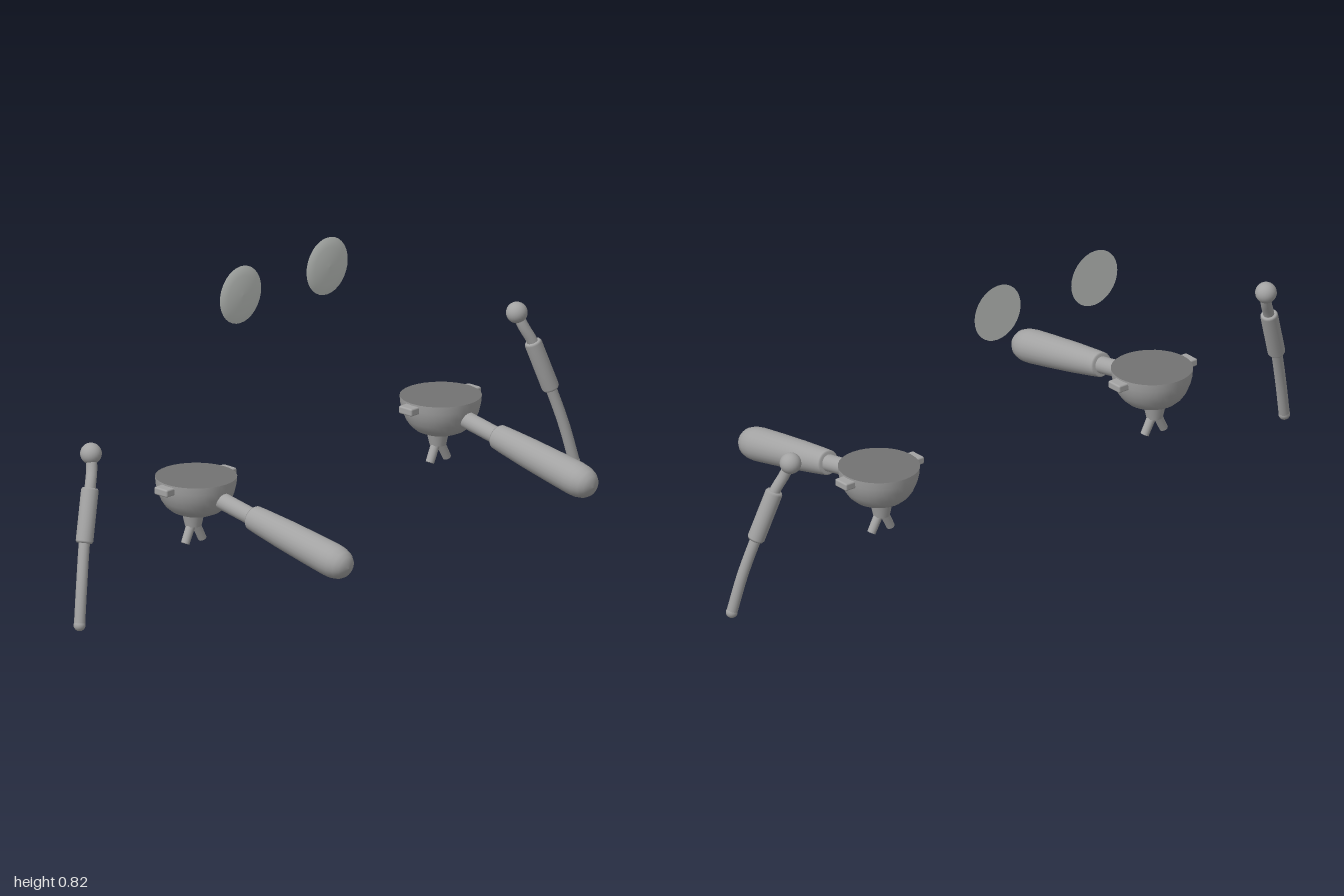
import * as THREE from 'three';
import { RoundedBoxGeometry } from 'three/addons/geometries/RoundedBoxGeometry.js';

const steel = new THREE.MeshStandardMaterial({ color: 0xa3a3a3 });
steel.name = 'steel';
const coffee = new THREE.MeshStandardMaterial({ color: 0x737373 });
coffee.name = 'dark grey';
const glass = new THREE.MeshStandardMaterial({ color: 0xc6cac6 });
glass.name = 'pale glass';

const V = (x, y, z) => new THREE.Vector3(x, y, z);
const UP = V(0, 1, 0);

function add(parent, name, geometry, material, x = 0, y = 0, z = 0) {
  const mesh = new THREE.Mesh(geometry, material);
  mesh.name = name;
  mesh.position.set(x, y, z);
  parent.add(mesh);
  return mesh;
}

// profile points are [radius, height], listed from bottom to top
function lathe(points, segments = 32) {
  return new THREE.LatheGeometry(points.map(([r, y]) => new THREE.Vector2(r, y)), segments);
}

// straight rod between two points
function rod(parent, name, a, b, ra, rb = ra) {
  const mesh = add(parent, name, new THREE.CylinderGeometry(rb, ra, a.distanceTo(b), 20), steel);
  mesh.position.copy(a).lerp(b, 0.5);
  mesh.quaternion.setFromUnitVectors(UP, b.clone().sub(a).normalize());
  return mesh;
}

function portafilter() {
  const g = new THREE.Group();
  g.name = 'portafilter';
  const cz = -0.224;

  // basket with a flat filled top
  add(g, 'basket', lathe([[0, 0.211], [0.03, 0.213], [0.052, 0.218], [0.07, 0.226], [0.085, 0.239],
    [0.097, 0.257], [0.106, 0.279], [0.111, 0.3], [0.113, 0.322]]), steel, 0, 0, cz);
  const top = add(g, 'basketTop', new THREE.CircleGeometry(0.113, 32), coffee, 0, 0.322, cz);
  top.rotation.x = -Math.PI / 2;

  // locking ears
  for (const s of [1, -1]) {
    add(g, 'ear', new RoundedBoxGeometry(0.045, 0.022, 0.05, 2, 0.005), steel, s * 0.117, 0.306, cz - 0.003);
  }

  // twin spout
  add(g, 'spoutBase', new THREE.CylinderGeometry(0.033, 0.023, 0.045, 20), steel, 0, 0.199, -0.235);
  for (const s of [1, -1]) {
    rod(g, 'spout', V(s * 0.004, 0.19, -0.235), V(s * 0.034, 0.132, -0.233), 0.013, 0.012);
  }

  // neck and grip slope down towards the front
  const start = V(0, 0.251, -0.01);
  const end = V(0, 0.185, 0.355);
  const axis = end.clone().sub(start).normalize();
  rod(g, 'neck', start.clone().addScaledVector(axis, -0.16), start.clone().addScaledVector(axis, 0.01), 0.024);
  const grip = add(g, 'grip', lathe([[0, 0], [0.031, 0], [0.035, 0.005], [0.037, 0.03], [0.042, 0.12],
    [0.0455, 0.22], [0.0475, 0.3], [0.046, 0.325], [0.04, 0.346], [0.03, 0.36], [0.016, 0.368], [0, 0.371]], 24), steel);
  grip.position.copy(start);
  grip.quaternion.setFromUnitVectors(UP, axis);
  return g;
}

function steamWand(s) {
  const g = new THREE.Group();
  g.name = 'steamWand';
  const path = [[0.846, 0.46, -0.279], [0.858, 0.42, -0.265], [0.879, 0.375, -0.251],
    [0.925, 0.24, -0.228], [0.957, 0.13, -0.208], [0.983, 0.017, -0.192]].map(([x, y, z]) => V(s * x, y, z));
  const curve = new THREE.CatmullRomCurve3(path);
  add(g, 'wandTube', new THREE.TubeGeometry(curve, 32, 0.0155, 16), steel);
  add(g, 'wandTip', new THREE.SphereGeometry(0.0165, 16, 12), steel).position.copy(path[5]);
  add(g, 'wandBall', new THREE.SphereGeometry(0.03, 24, 16), steel).position.copy(path[0]);

  // insulated sleeve with softened ends
  const dir = path[3].clone().sub(path[2]);
  const len = dir.length() + 0.008;
  const sleeve = add(g, 'wandSleeve', lathe([[0.013, 0], [0.021, 0], [0.0245, 0.006],
    [0.0245, len - 0.006], [0.021, len], [0.013, len]], 20), steel);
  sleeve.position.copy(path[2]);
  sleeve.quaternion.setFromUnitVectors(UP, dir.normalize());
  return g;
}

export function createModel() {
  const model = new THREE.Group();
  model.name = 'espressoFittings';
  for (const s of [1, -1]) {
    const filter = portafilter();
    filter.position.x = s * 0.486;
    model.add(filter, steamWand(s));

    // shallow domed gauge glass with a flat back
    const lens = new THREE.Group();
    lens.name = 'gaugeGlass';
    const dome = add(lens, 'gaugeDome', lathe([[0.082, 0], [0.07, 0.004], [0.055, 0.0065],
      [0.035, 0.0085], [0.018, 0.0095], [0, 0.01]]), glass);
    dome.rotation.x = Math.PI / 2;
    add(lens, 'gaugeBack', new THREE.CircleGeometry(0.082, 32), glass).rotation.y = Math.PI;
    lens.position.set(s * 0.172, 0.739, -0.355);
    model.add(lens);
  }
  return model;
}
